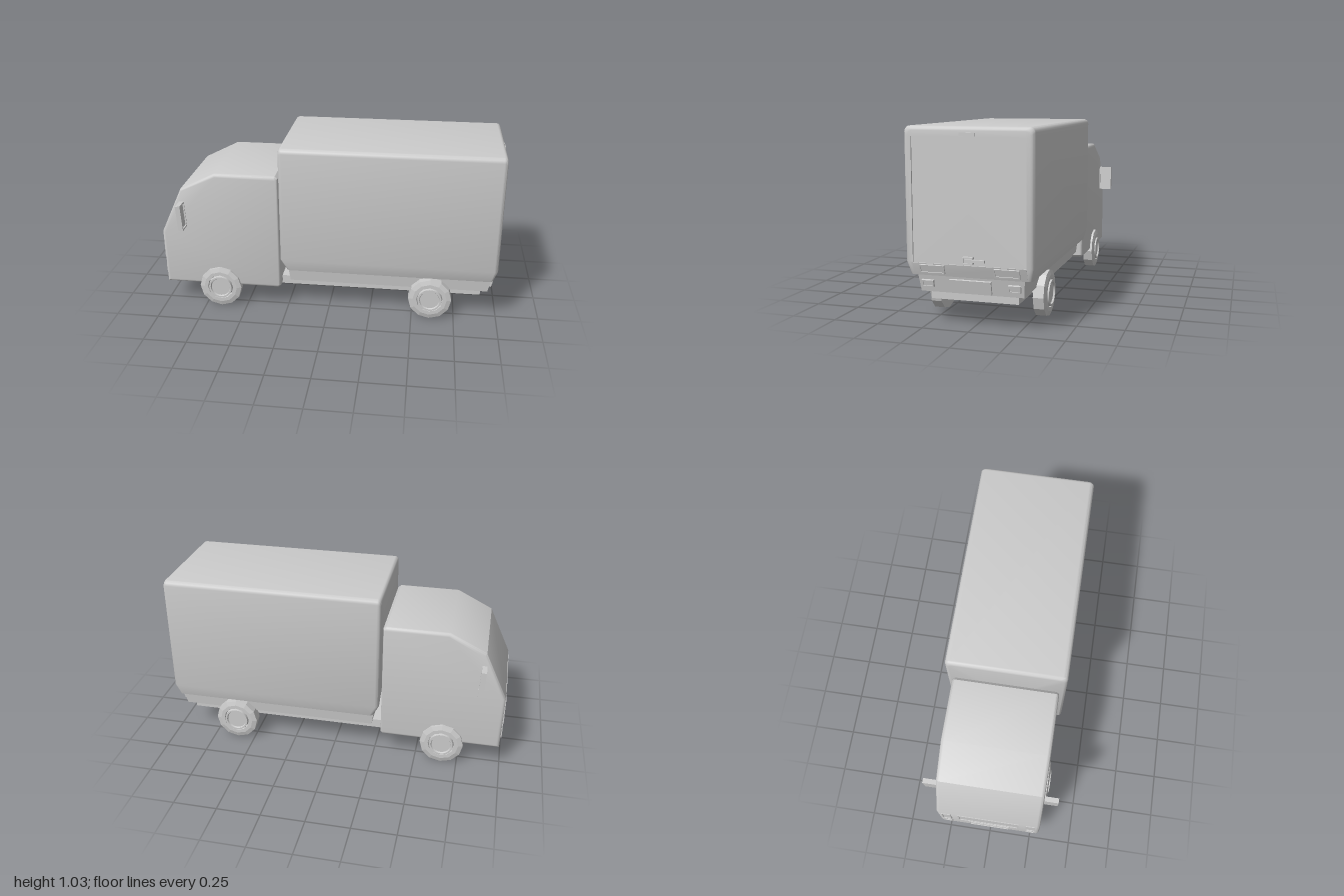
import * as THREE from 'three';
import { toCreasedNormals } from 'three/addons/utils/BufferGeometryUtils.js';

const smooth = new THREE.MeshStandardMaterial({ color: 0xcccccc });
const flat = new THREE.MeshStandardMaterial({ color: 0xcccccc, flatShading: true });

function add(parent, name, geometry, material = flat) {
  const mesh = new THREE.Mesh(geometry, material);
  mesh.name = name;
  parent.add(mesh);
  return mesh;
}

// Box given by its limits on each axis
function slab(parent, name, [x0, x1], [y0, y1], [z0, z1]) {
  const mesh = add(parent, name, new THREE.BoxGeometry(x1 - x0, y1 - y0, z1 - z0));
  mesh.position.set((x0 + x1) / 2, (y0 + y1) / 2, (z0 + z1) / 2);
  return mesh;
}

// Rectangular rim with a recessed panel, facing +x, centred on its own origin
function framedPanel(parent, name, width, height, depth, rim) {
  const group = new THREE.Group();
  group.name = name;
  const shape = new THREE.Shape();
  const rect = (p, w, h) => p.moveTo(-w, -h).lineTo(w, -h).lineTo(w, h).lineTo(-w, h).closePath();
  rect(shape, width / 2, height / 2);
  shape.holes.push(rect(new THREE.Path(), width / 2 - rim, height / 2 - rim));
  const geo = new THREE.ExtrudeGeometry(shape, { depth, bevelEnabled: false });
  geo.translate(0, 0, -depth / 2).rotateY(Math.PI / 2);
  add(group, name + 'Rim', geo);
  slab(group, name + 'Panel', [-depth / 2, depth * 0.2],
    [rim - height / 2, height / 2 - rim], [rim - width / 2, width / 2 - rim]);
  parent.add(group);
  return group;
}

// Cargo box cross-section in (z, y): round top corners, tucked-in bottom
function section(w, top, bottom, r, tuck) {
  const half = [[w - tuck, bottom], [w, Math.max(0.34, bottom + 0.004)]];
  for (let i = 0; i <= 5; i++) {
    const a = (i / 5) * Math.PI / 2;
    half.push([w - r + r * Math.cos(a), top - r + r * Math.sin(a)]);
  }
  return [...half, ...half.slice().reverse().map(([z, y]) => [-z, y])];
}

function loft(rings) {
  const n = rings[0].points.length, pos = [], idx = [];
  for (const { x, points } of rings) for (const [z, y] of points) pos.push(x, y, z);
  for (let i = 0; i < rings.length - 1; i++) {
    for (let j = 0; j < n; j++) {
      const a = i * n + j, b = i * n + (j + 1) % n;
      idx.push(a, a + n, b, b, a + n, b + n);
    }
  }
  const last = (rings.length - 1) * n;
  pos.push(rings[0].x, 0.6, 0, rings.at(-1).x, 0.6, 0);
  for (let j = 0; j < n; j++) {
    const k = (j + 1) % n;
    idx.push(last + n, j, k, last + n + 1, last + k, last + j);
  }
  const geo = new THREE.BufferGeometry();
  geo.setAttribute('position', new THREE.Float32BufferAttribute(pos, 3));
  geo.setIndex(idx);
  return geo;
}

function cargoBox() {
  const rings = [], r = 0.022;
  const ring = (x, e) => rings.push({ x, points: section(0.34 - e, 1.027 - e, 0.27, 0.028, 0.016) });
  for (let i = 0; i <= 4; i++) {
    const a = (i / 4) * Math.PI / 2;
    ring(-0.28 + r * (1 - Math.sin(a)), r * (1 - Math.cos(a)));
  }
  rings.reverse();
  rings.sort((p, q) => p.x - q.x);
  for (let i = 0; i <= 4; i++) {
    const a = (i / 4) * Math.PI / 2;
    ring(0.985 - r * (1 - Math.sin(a)), r * (1 - Math.cos(a)));
  }
  // The front and rear rings run from full size at the sides to inset at the ends
  const ends = rings.map((p) => p.x);
  rings.length = 0;
  ends.forEach((x) => {
    const d = Math.max(0, r - Math.min(x + 0.28, 0.985 - x));
    ring(x, r - Math.sqrt(Math.max(0, r * r - d * d)));
  });
  // Recessed rear door
  for (const x of [0.985, 0.976]) rings.push({ x, points: section(0.3, 0.975, 0.336, 0.002, 0) });
  const geo = loft(rings);
  // Slope the lower edge inwards at the front and rear
  const p = geo.attributes.position;
  for (let i = 0; i < p.count; i++) {
    const t = Math.max(0, (0.335 - p.getY(i)) / 0.065);
    p.setX(i, p.getX(i) + t * (p.getX(i) < 0.3 ? 0.035 : -0.022));
  }
  return toCreasedNormals(geo, 0.6);
}

function cab() {
  const outline = [[-0.99, 0.135], [-0.996, 0.47], [-0.868, 0.745], [-0.66, 0.85],
    [-0.305, 0.85], [-0.288, 0.835], [-0.288, 0.148], [-0.302, 0.135]];
  const shape = new THREE.Shape(outline.slice().reverse().map(([x, y]) => new THREE.Vector2(x, y)));
  const bevel = 0.02;
  const geo = new THREE.ExtrudeGeometry(shape, {
    depth: 0.61 - 2 * bevel, bevelThickness: bevel, bevelSize: bevel, bevelOffset: -bevel, bevelSegments: 4,
  });
  geo.translate(0, 0, bevel - 0.305);
  return toCreasedNormals(geo, 0.6);
}

function lathe(profile, sides) {
  return new THREE.LatheGeometry(profile.map(([r, z]) => new THREE.Vector2(r, z)), sides).rotateX(Math.PI / 2);
}

export function createModel() {
  const truck = new THREE.Group();
  truck.name = 'boxTruck';

  add(truck, 'cab', cab(), smooth);
  add(truck, 'cargoBox', cargoBox(), smooth);

  // Tapered skirt under the cargo box
  const skirt = new THREE.BoxGeometry(1.205, 0.1, 0.57);
  skirt.translate(0.3575, 0.23, 0);
  const sp = skirt.attributes.position;
  for (let i = 0; i < sp.count; i++) {
    if (sp.getY(i) > 0.2) continue;
    sp.setX(i, sp.getX(i) + (sp.getX(i) < 0 ? 0.015 : -0.022));
    sp.setZ(i, sp.getZ(i) * 0.965);
  }
  add(truck, 'skirt', skirt);
  slab(truck, 'chassis', [-0.32, 0.9], [0.133, 0.186], [-0.235, 0.235]);

  // Wheels
  const tyre = lathe([[0, 0.26], [0.127, 0.26], [0.127, 0.318], [0.1, 0.326], [0.078, 0.326], [0.074, 0.312], [0, 0.312]], 12);
  const hub = toCreasedNormals(lathe([[0.074, 0.31], [0.07, 0.333], [0.06, 0.333], [0.056, 0.324], [0, 0.324]], 24), 0.6);
  for (const x of [-0.655, 0.605]) {
    for (const side of [1, -1]) {
      const wheel = new THREE.Group();
      wheel.name = (x < 0 ? 'cab' : 'rear') + 'Wheel';
      wheel.position.set(x, 0.128, 0);
      wheel.rotation.y = side > 0 ? 0 : Math.PI;
      add(wheel, 'tyre', tyre);
      add(wheel, 'hub', hub, smooth);
      slab(wheel, 'axleMount', [-0.05, 0.05], [0.007, 0.055], [0.22, 0.262]);
      truck.add(wheel);
    }
  }

  for (const s of [1, -1]) {
    // Wing mirrors, glass facing the rear
    const mirror = framedPanel(truck, 'wingMirror', 0.085, 0.155, 0.028, 0.009);
    mirror.position.set(-0.858, 0.595, s * 0.343);
    mirror.rotation.z = 0.06;

    // Cab lights
    const place = (name, w, h, x, y, z, turn, tilt) => {
      const lamp = framedPanel(truck, name, w, h, 0.016, 0.007);
      lamp.position.set(x, y, z);
      lamp.rotation.set(0, turn, tilt);
    };
    place('headlight', 0.055, 0.155, -0.992, 0.365, s * 0.25, Math.PI, 0);
    place('fogLight', 0.055, 0.06, -0.99, 0.225, s * 0.25, Math.PI, 0);

    // Tail lights
    place('tailLight', 0.135, 0.048, 0.976, 0.307, s * 0.198, 0, -0.3);
    place('reverseLight', 0.064, 0.038, 0.955, 0.226, s * 0.231, 0, -0.22);
  }

  // Grille and number plates
  const grille = framedPanel(truck, 'grille', 0.36, 0.145, 0.016, 0.008);
  grille.position.set(-0.992, 0.382, 0);
  grille.rotation.y = Math.PI;
  const frontPlate = framedPanel(truck, 'frontPlate', 0.24, 0.07, 0.016, 0.006);
  frontPlate.position.set(-0.99, 0.215, 0);
  frontPlate.rotation.y = Math.PI;
  const rearPlate = slab(truck, 'rearPlate', [0.95, 0.962], [0.187, 0.257], [-0.11, 0.11]);
  rearPlate.rotation.z = -0.22;

  // Door handle and roof marker lamp
  const mount = framedPanel(truck, 'handleMount', 0.055, 0.036, 0.022, 0.006);
  mount.position.set(0.985, 0.363, 0.002);
  slab(truck, 'handleBar', [0.985, 1], [0.357, 0.37], [-0.088, 0.015]);
  const marker = framedPanel(truck, 'markerLamp', 0.082, 0.017, 0.016, 0.004);
  marker.position.set(0.984, 0.987, 0);

  return truck;
}
